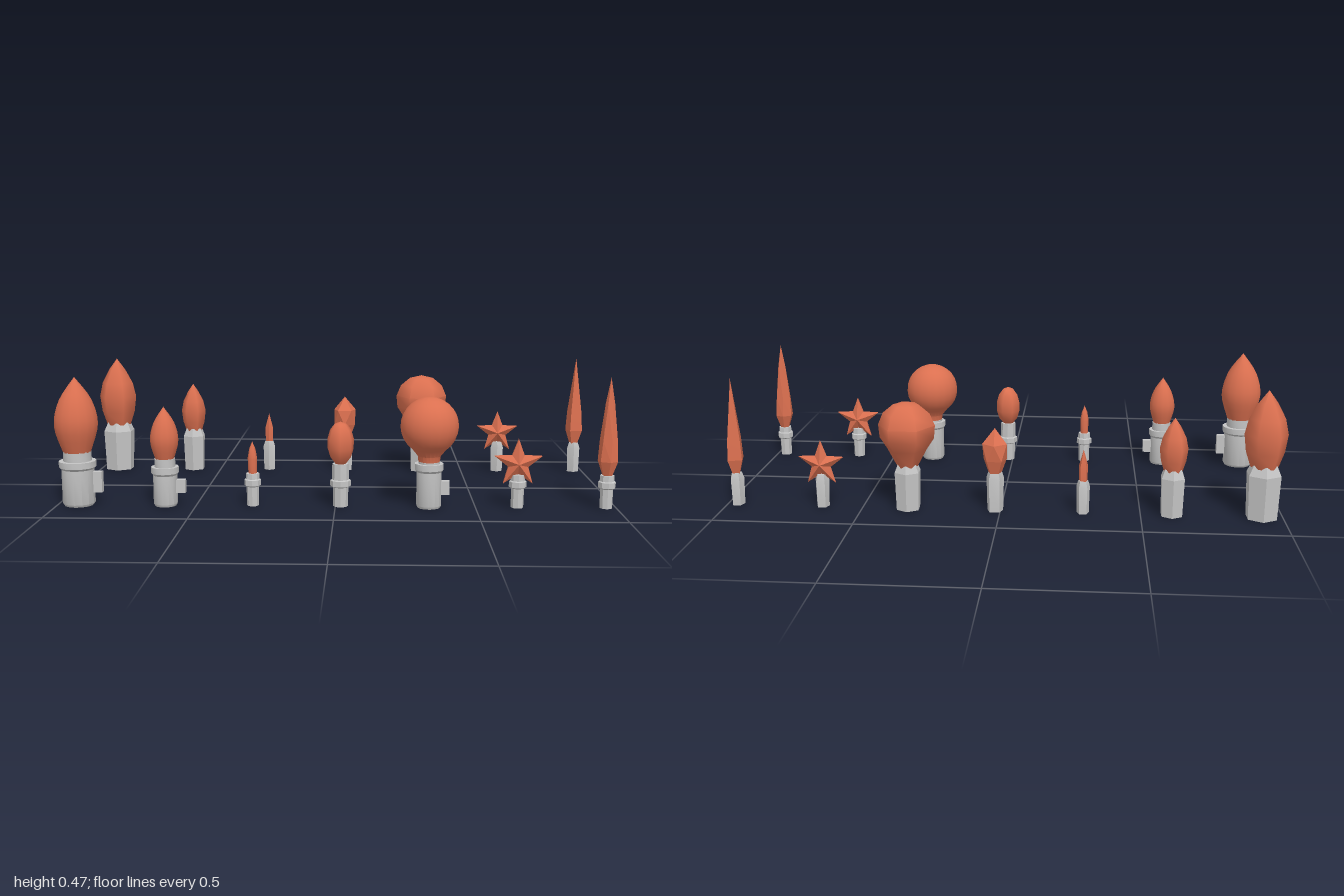
import * as THREE from 'three';
import { toCreasedNormals } from 'three/addons/utils/BufferGeometryUtils.js';

const glass = new THREE.MeshStandardMaterial({ color: 0xdb7050 });
glass.name = 'terracotta glass';
const metal = new THREE.MeshStandardMaterial({ color: 0xc4c4c4 });
metal.name = 'grey socket';

const pt = (x, y) => new THREE.Vector2(x, y);
const FLAT = 0.1, SOFT = 1.1, HEX = Math.PI / 6;

// Revolved profile; crease is the angle above which edges stay sharp
function turned(points, sides, crease = 0.6, start = 0) {
  return toCreasedNormals(new THREE.LatheGeometry(points, sides, start), crease);
}

// Revolved profile whose rings turn steadily with height
function twisted(points, sides, rate) {
  const g = new THREE.LatheGeometry(points, sides);
  const p = g.attributes.position, v = new THREE.Vector3(), up = new THREE.Vector3(0, 1, 0);
  for (let i = 0; i < p.count; i++) {
    v.fromBufferAttribute(p, i);
    v.applyAxisAngle(up, (v.y - 0.12) * rate);
    p.setXYZ(i, v.x, v.y, v.z);
  }
  return toCreasedNormals(g, FLAT);
}

// Large socket: bevelled barrel, collar and neck
function bigSocket(r, collarTop, top) {
  const collar = r * 1.14, neck = r * 0.86;
  return turned([pt(0, 0.003), pt(r * 0.9, 0.003), pt(r, 0.012), pt(r, collarTop - 0.03),
    pt(collar, collarTop - 0.022), pt(collar, collarTop), pt(neck, collarTop), pt(neck, top), pt(0, top)], 14);
}

// Small socket: slim barrel with a raised ring
function smallSocket(r, top) {
  return turned([pt(0, 0.003), pt(r * 0.85, 0.005), pt(r * 0.9, 0.075), pt(r * 1.2, 0.08),
    pt(r * 1.2, 0.1), pt(r, 0.103), pt(r * 0.95, top), pt(0, top)], 8, 0.5);
}

// Plain socket: few-sided prism with a sloped shoulder
function plainSocket(r, top, sides) {
  return turned([pt(0, 0.003), pt(r, 0.003), pt(r * 1.1, top * 0.82), pt(r * 0.8, top), pt(0, top)], sides, 0.3);
}

// Pointed flame outline sampled from a smooth curve
function flame(r, y0, y1, steps) {
  const y = t => y0 + t * (y1 - y0);
  return new THREE.SplineCurve([pt(r * 0.64, y0), pt(r, y(0.36)), pt(r * 0.73, y(0.7)), pt(0, y(1))]).getPoints(steps);
}

// Rounded outline: part of an ellipse from a low latitude up to the top
function round(r, h, cy, from, steps) {
  return Array.from({ length: steps + 1 }, (_, i) => {
    const a = from + (Math.PI / 2 - from) * i / steps;
    return pt(i === steps ? 0 : r * Math.cos(a), cy + h * Math.sin(a));
  });
}

// Faceted egg: two five-sided rings set half a step apart between open neck and tip
function plainEgg() {
  const ring = (r, y, shift) => Array.from({ length: 5 }, (_, i) => {
    const a = (i + shift) * Math.PI * 0.4;
    return [r * Math.sin(a), y, r * Math.cos(a)];
  });
  const neck = ring(0.025, 0.145, 0), low = ring(0.044, 0.195, 0), high = ring(0.046, 0.255, 0.5);
  const tip = [0, 0.31, 0], out = [];
  for (let i = 0; i < 5; i++) {
    const j = (i + 1) % 5;
    out.push(...neck[i], ...neck[j], ...low[j], ...neck[i], ...low[j], ...low[i]);
    out.push(...low[i], ...low[j], ...high[i], ...low[j], ...high[j], ...high[i]);
    out.push(...high[i], ...high[j], ...tip);
  }
  return faceted(out);
}

function faceted(positions) {
  const g = new THREE.BufferGeometry();
  g.setAttribute('position', new THREE.Float32BufferAttribute(positions, 3));
  g.computeVertexNormals();
  return g;
}

// Five-pointed star with a raised centre on both faces and a rim of half-thickness t
function star(t) {
  const depth = 0.029, cy = 0.164, out = [];
  const corner = (i, z) => {
    const a = Math.PI / 2 + i * Math.PI / 5, r = i % 2 ? 0.037 : 0.088;
    return [r * Math.cos(a), cy + r * Math.sin(a), z];
  };
  for (let i = 0; i < 10; i++) {
    const a = corner(i, t), b = corner(i + 1, t), c = corner(i, -t), d = corner(i + 1, -t);
    out.push(...a, ...b, 0, cy, depth, ...d, ...c, 0, cy, -depth);
    if (t > 0) out.push(...a, ...c, ...d, ...a, ...d, ...b);
  }
  return faceted(out);
}

function addMesh(parent, name, geometry, material) {
  const m = new THREE.Mesh(geometry, material);
  m.name = name;
  parent.add(m);
  return m;
}

export function createModel() {
  const model = new THREE.Group();
  model.name = 'lightBulbSet';

  // Bulbs stand in seven columns, detailed in front and plain behind
  function addBulb(name, column, z, socket, bulb) {
    const group = new THREE.Group();
    group.name = name;
    group.position.set(-0.924 + column * 0.3143, 0, z);
    addMesh(group, 'socket', socket, metal);
    addMesh(group, 'bulb', bulb, glass);
    model.add(group);
    return group;
  }
  const detailed = (name, column, socket, bulb) => addBulb(name + 'Detailed', column, 0.307, socket, bulb);
  const plain = (name, column, socket, bulb) => addBulb(name + 'Plain', column, -0.323, socket, bulb);

  // Clip box on the left side of a large socket
  function addClip(group, r, height) {
    const clip = addMesh(group, 'clip', new THREE.BoxGeometry(0.042, height, 0.026), metal);
    clip.position.set(r + 0.009, 0.05 + height / 2, 0);
  }

  // Flames
  addClip(detailed('largeFlame', 0, bigSocket(0.058, 0.165, 0.2), turned(flame(0.077, 0.197, 0.466, 12), 16)), 0.058, 0.076);
  plain('largeFlame', 0, plainSocket(0.058, 0.2, 6), turned(flame(0.076, 0.19, 0.464, 5), 6, SOFT, HEX));
  addClip(detailed('mediumFlame', 1, bigSocket(0.043, 0.145, 0.175), turned(flame(0.05, 0.17, 0.361, 12), 14)), 0.043, 0.048);
  plain('mediumFlame', 1, plainSocket(0.042, 0.175, 6), turned(flame(0.05, 0.165, 0.36, 5), 6, SOFT, HEX));

  // Mini tapers
  const taper = [pt(0.015, 0.12), pt(0.017, 0.178), pt(0.011, 0.212), pt(0, 0.238)];
  detailed('miniTaper', 2, smallSocket(0.025, 0.123), turned(taper, 8, 0.8));
  plain('miniTaper', 2, plainSocket(0.023, 0.123, 5), turned(taper.filter((_, i) => i !== 2), 5, 0.3));

  // Faceted eggs
  detailed('facetedEgg', 3, smallSocket(0.031, 0.16), turned(round(0.049, 0.079, 0.232, -1.15, 6), 7, 0.95));
  plain('facetedEgg', 3, plainSocket(0.03, 0.153, 5), plainEgg());

  // Globes
  const neck = [pt(0.037, 0.163), pt(0.041, 0.19)];
  const fineGlobe = turned([...neck, ...round(0.103, 0.103, 0.297, -0.95, 11)], 20);
  addClip(detailed('globe', 4, bigSocket(0.045, 0.163, 0.17), fineGlobe), 0.043, 0.05);
  const plainGlobe = turned([neck[0], ...round(0.103, 0.1, 0.3, -0.8, 5)], 6, SOFT, HEX);
  plain('globe', 4, plainSocket(0.045, 0.175, 6), plainGlobe);

  // Stars
  detailed('star', 5, smallSocket(0.026, 0.125), star(0.006));
  plain('star', 5, plainSocket(0.024, 0.125, 5), star(0));

  // Spikes
  const spike = [pt(0, 0.12), pt(0.017, 0.12), pt(0.036, 0.175), pt(0.031, 0.25), pt(0.016, 0.38), pt(0, 0.472)];
  detailed('spike', 6, smallSocket(0.026, 0.124), twisted(spike, 6, 1.5));
  plain('spike', 6, plainSocket(0.024, 0.124, 5), turned(spike.filter((_, i) => i !== 4), 4, FLAT, 1));

  return model;
}
